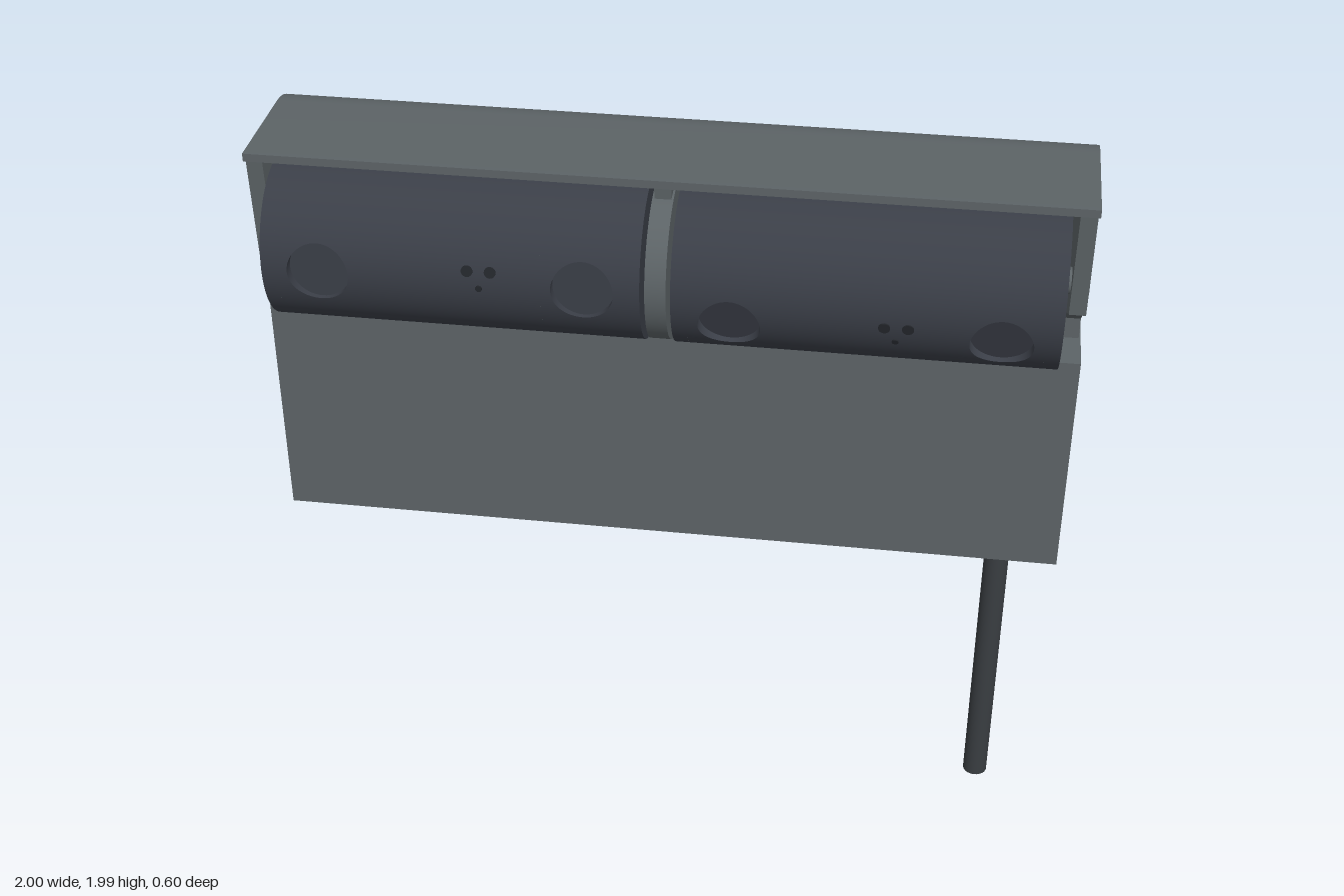
import * as THREE from 'three';
import { toCreasedNormals, mergeGeometries } from 'three/addons/utils/BufferGeometryUtils.js';

const shellGrey = new THREE.MeshStandardMaterial({ name: 'shellGrey', color: 0x5c6366 });
const drumCharcoal = new THREE.MeshStandardMaterial({ name: 'drumCharcoal', color: 0x3a3e47 });
const cableCharcoal = new THREE.MeshStandardMaterial({ name: 'cableCharcoal', color: 0x393d41 });
const pinBlack = new THREE.MeshStandardMaterial({ name: 'pinBlack', color: 0x24272c });

const R = 0.2, BAND = 0.1, HOLE = 0.074, FLOOR = 0.172;
const DRUM_Y = 1.755, DRUM_Z = 0.1, HALF = 0.452;

function add(parent, name, geometry, material, x = 0, y = 0, z = 0) {
  const mesh = new THREE.Mesh(geometry, material);
  mesh.name = name;
  mesh.position.set(x, y, z);
  parent.add(mesh);
  return mesh;
}

// Side profile drawn with shape x = -z, extruded along x and centred
function extrudeAcross(shape, width) {
  const g = new THREE.ExtrudeGeometry(shape, { depth: width, bevelEnabled: false, curveSegments: 16 });
  g.translate(0, 0, -width / 2).rotateY(Math.PI / 2);
  return toCreasedNormals(g, 0.5);
}

// Cylinder lying along x
function rod(radius, length, segments = 32, start = 0, sweep = Math.PI * 2, open = false) {
  return new THREE.CylinderGeometry(radius, radius, length, segments, 1, open, start, sweep).rotateZ(-Math.PI / 2);
}

// Skin over closed rings of points
function loft(rings) {
  const n = rings[0].length, pos = rings.flat(2), index = [], uv = [];
  for (let k = 0; k < rings.length * n; k++) uv.push(0, 0);
  for (let r = 0; r < rings.length - 1; r++) for (let i = 0; i < n; i++) {
    const a = r * n + i, b = r * n + (i + 1) % n;
    index.push(a, b, a + n, b, b + n, a + n);
  }
  const g = new THREE.BufferGeometry();
  g.setAttribute('position', new THREE.Float32BufferAttribute(pos, 3));
  g.setAttribute('uv', new THREE.Float32BufferAttribute(uv, 2));
  g.setIndex(index);
  g.computeVertexNormals();
  return g;
}

// Curved square patch of drum surface with a round recess in it
function recessPatch() {
  const onDrum = (x, y) => [x, y, Math.sqrt(R * R - y * y)];
  const rings = [], n = 48;
  for (let r = 0; r <= 4; r++) {
    rings.push(Array.from({ length: n }, (_, i) => {
      const a = (i / n) * Math.PI * 2, c = Math.cos(a), s = Math.sin(a);
      const outer = BAND / Math.max(Math.abs(c), Math.abs(s));
      const d = THREE.MathUtils.lerp(outer, HOLE, r / 4);
      return onDrum(c * d, s * d);
    }));
  }
  const skin = loft(rings), p = skin.attributes.position;
  for (let i = 0; i < p.count; i++) skin.attributes.normal.setXYZ(i, 0, p.getY(i) / R, p.getZ(i) / R);
  const rim = rings[4];
  const wall = loft([rim, rim.map(([x, y]) => [x, y, FLOOR])]);
  const floor = new THREE.CircleGeometry(HOLE, n).translate(0, 0, FLOOR);
  return mergeGeometries([skin, wall, floor]);
}

// Rotating drum with two round recesses and three small pin holes
function makeDrum(name) {
  const drum = new THREE.Group();
  drum.name = name;
  const holeX = 0.316, gap = Math.asin(BAND / R);
  const parts = [];
  const span = (a, b) => parts.push(rod(R, b - a, 96, 0, Math.PI * 2, true).translate((a + b) / 2, 0, 0));
  span(-HALF, -holeX - BAND);
  span(-holeX + BAND, holeX - BAND);
  span(holeX + BAND, HALF);
  for (const s of [-1, 1]) {
    parts.push(rod(R, BAND * 2, 80, gap, Math.PI * 2 - gap * 2, true).translate(s * holeX, 0, 0));
    parts.push(recessPatch().translate(s * holeX, 0, 0));
    parts.push(new THREE.CircleGeometry(R, 96).rotateY(s * Math.PI / 2).translate(s * HALF, 0, 0));
  }
  add(drum, 'drumBody', mergeGeometries(parts), drumCharcoal);
  for (const [x, y, r] of [[0.045, 0.035, 0.014], [0.1, 0.035, 0.014], [0.072, -0.008, 0.008]]) {
    const a = Math.asin(y / R);
    const dot = add(drum, 'pinHole', new THREE.CylinderGeometry(r, r, 0.006, 16).rotateX(Math.PI / 2),
      pinBlack, x, y, R * Math.cos(a));
    dot.rotation.x = -a;
  }
  return drum;
}

export function createModel() {
  const model = new THREE.Group();
  model.name = 'pivotingSocketUnit';

  // Shell: rounded back, overhanging top lip and stepped bay for the drums
  const shell = new THREE.Shape();
  shell.moveTo(-0.1, 0.94);
  shell.lineTo(0.1, 0.94);
  shell.absarc(0.1, 1.14, 0.2, -Math.PI / 2, 0, false);
  shell.absarc(0.12, 1.81, 0.18, 0, Math.PI / 2, false);
  shell.lineTo(-0.17, 1.99);
  shell.lineTo(-0.17, 1.97);
  shell.lineTo(0.12, 1.97);
  shell.absarc(0.12, 1.815, 0.155, Math.PI / 2, 0, true);
  shell.lineTo(0.275, 1.755);
  shell.lineTo(0.12, 1.755);
  shell.lineTo(0.12, 1.54);
  shell.lineTo(-0.1, 1.54);
  add(model, 'shell', extrudeAcross(shell, 2), shellGrey);

  // End brackets holding the drums
  const bracket = new THREE.Shape();
  bracket.moveTo(-0.165, 1.97);
  bracket.lineTo(-0.145, 1.7);
  bracket.lineTo(-0.04, 1.645);
  bracket.lineTo(0.02, 1.595);
  bracket.lineTo(0.02, 1.54);
  bracket.lineTo(0.12, 1.54);
  bracket.lineTo(0.12, 1.755);
  bracket.lineTo(0.275, 1.755);
  bracket.lineTo(0.275, 1.815);
  bracket.absarc(0.12, 1.815, 0.155, 0, Math.PI / 2, false);
  const bracketGeo = extrudeAcross(bracket, 0.04);
  for (const s of [-1, 1]) {
    add(model, 'endBracket', bracketGeo, shellGrey, s * 0.975, 0, 0);
    add(model, 'pivotPin', rod(0.032, 0.064), shellGrey, s * 0.966, DRUM_Y, DRUM_Z - 0.02);
  }

  // Divider between the drums, with its web back to the shell
  add(model, 'dividerDisc', rod(0.196, 0.05, 96), shellGrey, 0, DRUM_Y, DRUM_Z);
  add(model, 'dividerWeb', bracketGeo, shellGrey);
  add(model, 'axle', rod(0.032, 0.1), shellGrey, 0, DRUM_Y, DRUM_Z);

  // Drums, one turned downward
  for (const [name, x, tilt] of [['rightDrum', -0.488, 0], ['leftDrum', 0.488, 0.36]]) {
    const drum = makeDrum(name);
    drum.position.set(x, DRUM_Y, DRUM_Z);
    drum.rotation.x = tilt;
    model.add(drum);
  }

  // Cable and its collar under the shell
  const collar = new THREE.Shape();
  const w = 0.073, d = 0.04, c = 0.015;
  [[-w + c, -d], [w - c, -d], [w, -d + c], [w, d - c], [w - c, d], [-w + c, d], [-w, d - c], [-w, -d + c]]
    .forEach(([x, y], i) => (i ? collar.lineTo(x, y) : collar.moveTo(x, y)));
  const collarGeo = new THREE.ExtrudeGeometry(collar, { depth: 0.13, bevelEnabled: false }).rotateX(-Math.PI / 2);
  add(model, 'cableCollar', collarGeo, cableCharcoal, 0.857, 0.872, -0.16);
  add(model, 'cable', new THREE.CylinderGeometry(0.033, 0.033, 0.9, 32), cableCharcoal, 0.857, 0.45, -0.16);

  return model;
}
